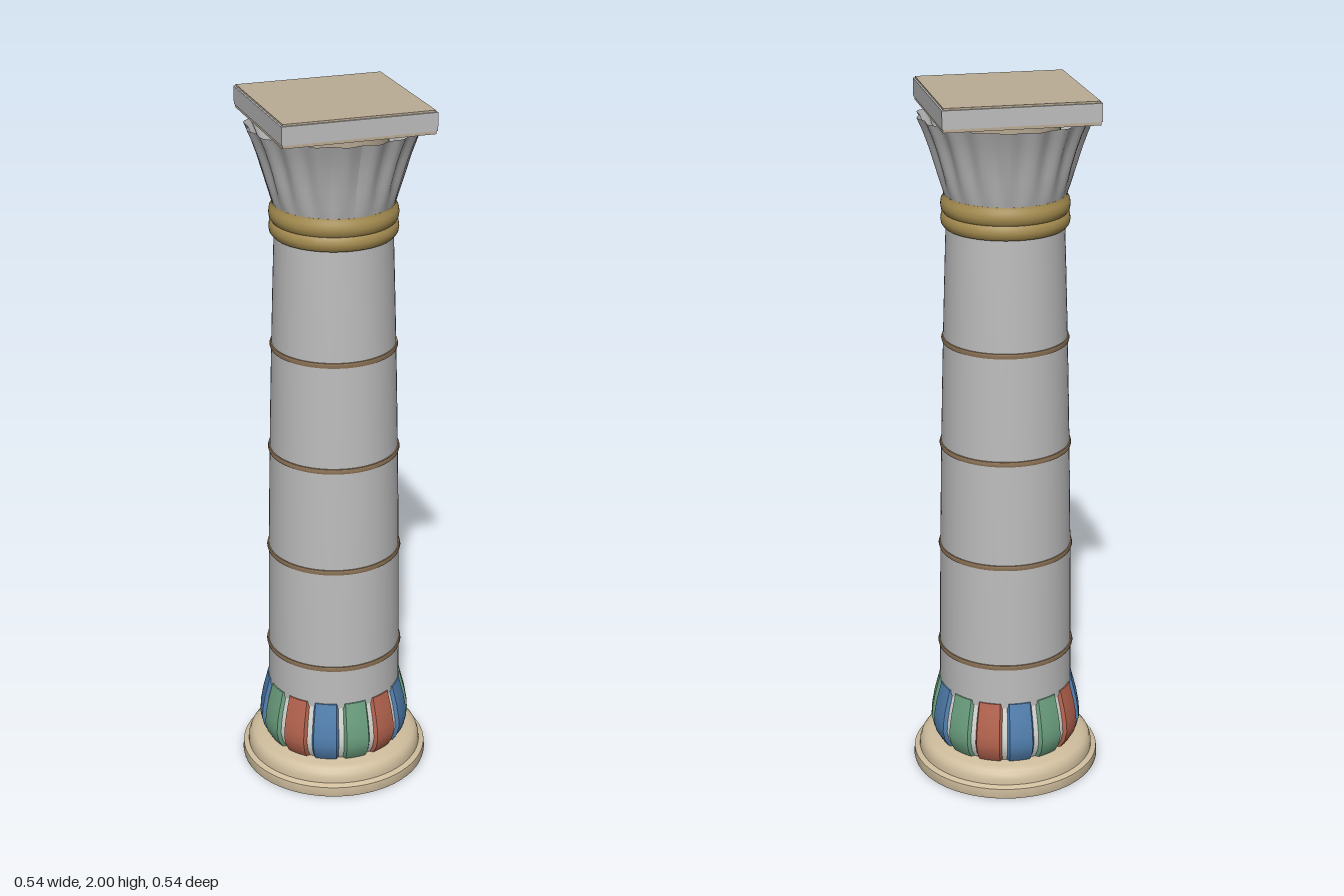
import * as THREE from 'three';
import { toCreasedNormals } from 'three/addons/utils/BufferGeometryUtils.js';

const material = (name, color, side = THREE.FrontSide) => {
  const m = new THREE.MeshStandardMaterial({ color, side });
  m.name = name;
  return m;
};

export function createModel() {
  const column = new THREE.Group();
  column.name = 'column';

  const stone = material('grey stone', 0xbdbdbd);
  const bellStone = material('bell stone', 0xbebebe, THREE.DoubleSide);
  const gapWhite = material('pale stone', 0xd8d8d4);
  const cream = material('cream limestone', 0xcfbd9d);
  const sand = material('sand slab', 0xbbad96);
  const gold = material('old gold', 0xa58c50);
  const brown = material('brown band', 0x8f7558);
  const petalColors = [
    material('green paint', 0x6b9f7f),
    material('blue paint', 0x517fae),
    material('red paint', 0xb4634e),
  ];

  const add = (name, geometry, mat, parent = column) => {
    const mesh = new THREE.Mesh(geometry, mat);
    mesh.name = name;
    parent.add(mesh);
    return mesh;
  };
  const profile = (pairs) => pairs.map(([r, y]) => new THREE.Vector2(r, y));
  const turned = (pairs, segments = 64) =>
    toCreasedNormals(new THREE.LatheGeometry(profile(pairs), segments), 0.6);

  // Round base
  add('base', turned([
    [0, 0], [0.27, 0], [0.272, 0.008], [0.27, 0.03], [0.255, 0.036],
    [0.254, 0.05], [0.249, 0.065], [0.24, 0.075], [0.225, 0.081], [0, 0.082],
  ]), cream);

  // Bulb behind the petals
  const bulb = [[0.197, 0.08], [0.212, 0.105], [0.219, 0.135], [0.217, 0.165],
    [0.21, 0.205], [0.201, 0.24], [0.195, 0.264]];
  add('bulb', turned([...bulb.map(([r, y]) => [r - 0.009, y]), [0.17, 0.262]], 56), gapWhite);

  // Ring of painted petals, with edges pressed into the bulb
  const petals = new THREE.Group();
  petals.name = 'petals';
  column.add(petals);
  const count = 14, step = (Math.PI * 2) / count, columns = 8;
  const petalProfile = profile([[0.18, 0.08], ...bulb, [0.18, 0.266]]);
  for (let k = 0; k < count; k++) {
    const width = step * 0.92;
    const angle = (3 - k) * step;
    const g = new THREE.LatheGeometry(petalProfile, columns, angle - width / 2, width);
    const p = g.attributes.position;
    const rows = petalProfile.length;
    for (let i = 0; i < p.count; i++) {
      const c = Math.floor(i / rows);
      if (c > 0 && c < columns) continue;
      const r = Math.hypot(p.getX(i), p.getZ(i));
      const s = (r - 0.014) / r;
      p.setXYZ(i, p.getX(i) * s, p.getY(i), p.getZ(i) * s);
    }
    add('petal', toCreasedNormals(g, 0.6), petalColors[k % 3], petals);
  }

  // Tapering shaft
  const shaftRadius = (y) => 0.192 - 0.008 * (y - 0.26) - 0.0102 * (y - 0.26) ** 2;
  const shaft = [];
  for (let i = 0; i <= 10; i++) {
    const y = 0.25 + i * 0.139;
    shaft.push([shaftRadius(y), y]);
  }
  add('shaft', turned(shaft), stone);

  // Thin bands around the shaft
  for (const y of [0.38, 0.69, 1.0, 1.31]) {
    const r = shaftRadius(y);
    add('shaftBand', turned([
      [r - 0.005, y - 0.008], [r + 0.003, y - 0.007], [r + 0.005, y],
      [r + 0.003, y + 0.007], [r - 0.005, y + 0.008],
    ]), brown);
  }

  // Gold neck rings
  add('neck', turned([
    [0.155, 1.628], [0.168, 1.63], [0.174, 1.638], [0.176, 1.65], [0.174, 1.663],
    [0.169, 1.67], [0.174, 1.677], [0.176, 1.69], [0.174, 1.704],
    [0.169, 1.712], [0.167, 1.72], [0, 1.722],
  ]), gold);

  // Fluted, flaring bell, open at the top
  const bell = new THREE.LatheGeometry(profile([
    [0.166, 1.718], [0.175, 1.75], [0.187, 1.8], [0.201, 1.85], [0.217, 1.895], [0.233, 1.932],
  ]), 108);
  const bp = bell.attributes.position;
  for (let i = 0; i < bp.count; i++) {
    const x = bp.getX(i), y = bp.getY(i), z = bp.getZ(i);
    const depth = 0.006 * Math.min(1, (y - 1.718) / 0.1);
    const s = 1 + (depth * Math.cos(18 * Math.atan2(z, x))) / Math.hypot(x, z);
    bp.setXYZ(i, x * s, y, z * s);
  }
  bell.computeVertexNormals();
  add('bell', bell, bellStone);

  // Square slab on top, with its hidden support
  add('slabSupport', new THREE.CylinderGeometry(0.15, 0.14, 0.23, 32), sand).position.y = 1.83;
  const plate = (name, size, bottom, top, mat) => {
    add(name, new THREE.BoxGeometry(size, top - bottom, size), mat).position.y = (bottom + top) / 2;
  };
  plate('slabUnderside', 0.416, 1.937, 1.946, sand);
  plate('slab', 0.422, 1.946, 1.995, stone);
  plate('slabTop', 0.412, 1.995, 2.0, sand);

  return column;
}
